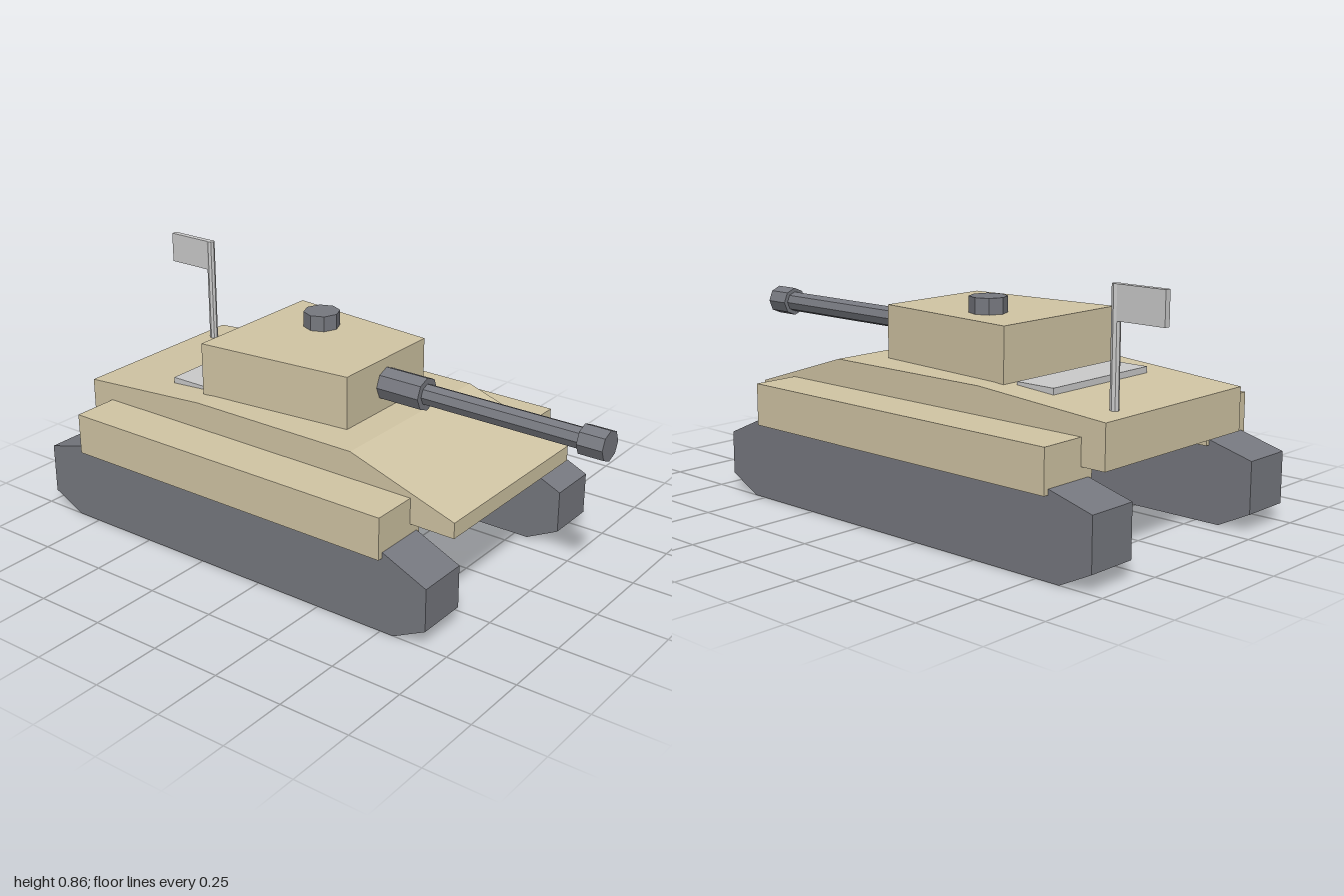
import * as THREE from 'three';

const material = (color) => new THREE.MeshStandardMaterial({ color, flatShading: true });

export function createModel() {
  const model = new THREE.Group();
  model.name = 'tank';
  const tan = material(0xd2c6a5);
  const dark = material(0x777980);
  const grey = material(0xcccccc);

  const add = (name, geometry, mat, x = 0, y = 0, z = 0) => {
    const mesh = new THREE.Mesh(geometry, mat);
    mesh.name = name;
    mesh.position.set(x, y, z);
    model.add(mesh);
    return mesh;
  };
  const extrude = (points, depth) => new THREE.ExtrudeGeometry(
    new THREE.Shape(points.map(([a, b]) => new THREE.Vector2(a, b))),
    { depth, bevelEnabled: false });
  // Side profile given as [z, y], extruded across x and centred
  const sideProfile = (points, width) =>
    extrude(points, width).translate(0, 0, -width / 2).rotateY(-Math.PI / 2);
  // Box from its minimum and maximum corners
  const box = (name, mat, [x0, y0, z0], [x1, y1, z1]) => add(name,
    new THREE.BoxGeometry(x1 - x0, y1 - y0, z1 - z0), mat,
    (x0 + x1) / 2, (y0 + y1) / 2, (z0 + z1) / 2);

  // Hull with sloped front plate and gently falling engine deck
  add('hull', sideProfile([
    [0.67, 0.32], [0.67, 0.375], [0.27, 0.505], [-0.38, 0.505], [-0.885, 0.468], [-0.885, 0.32],
  ], 0.704), tan);

  // Tracks and the fenders above them
  const trackGeometry = sideProfile([
    [0.55, 0.003], [0.67, 0.06], [0.67, 0.21], [0.505, 0.284],
    [-0.79, 0.284], [-0.96, 0.238], [-0.96, 0.06], [-0.84, 0],
  ].map(([z, y]) => [z, y < 0.01 ? 0 : y]), 0.186);
  for (const [side, s] of [['left', 1], ['right', -1]]) {
    add(side + 'Track', trackGeometry, dark, s * 0.408, 0, 0);
    add(side + 'Fender', new THREE.BoxGeometry(0.22, 0.147, 1.3), tan, s * 0.41, 0.3375, -0.145);
  }

  // Turret, wider towards the back; outline as [x, -z]
  add('turret', extrude([
    [-0.222, -0.16], [0.222, -0.16], [0.278, 0.42], [-0.278, 0.42],
  ], 0.187).rotateX(-Math.PI / 2), tan, 0, 0.503, 0);
  add('hatch', new THREE.CylinderGeometry(0.065, 0.065, 0.057, 8), dark, 0.11, 0.7165, -0.2);

  // Gun built from octagonal sections along z
  for (const [name, radius, z0, z1] of [
    ['gunSleeve', 0.058, 0.15, 0.325],
    ['gunBarrel', 0.037, 0.3, 0.93],
    ['muzzle', 0.052, 0.91, 1],
  ]) {
    add(name, new THREE.CylinderGeometry(radius, radius, z1 - z0, 8).rotateX(Math.PI / 2),
      dark, 0, 0.597, (z0 + z1) / 2);
  }

  // Engine deck plate
  box('deckPlate', grey, [-0.24, 0.485, -0.592], [0.24, 0.511, -0.442]);

  // Flag and pole at the rear left corner
  add('flagPole', new THREE.CylinderGeometry(0.015, 0.015, 0.4, 8), grey, 0.222, 0.657, -0.815);
  box('flag', grey, [0.211, 0.746, -1], [0.233, 0.857, -0.815]);

  return model;
}
